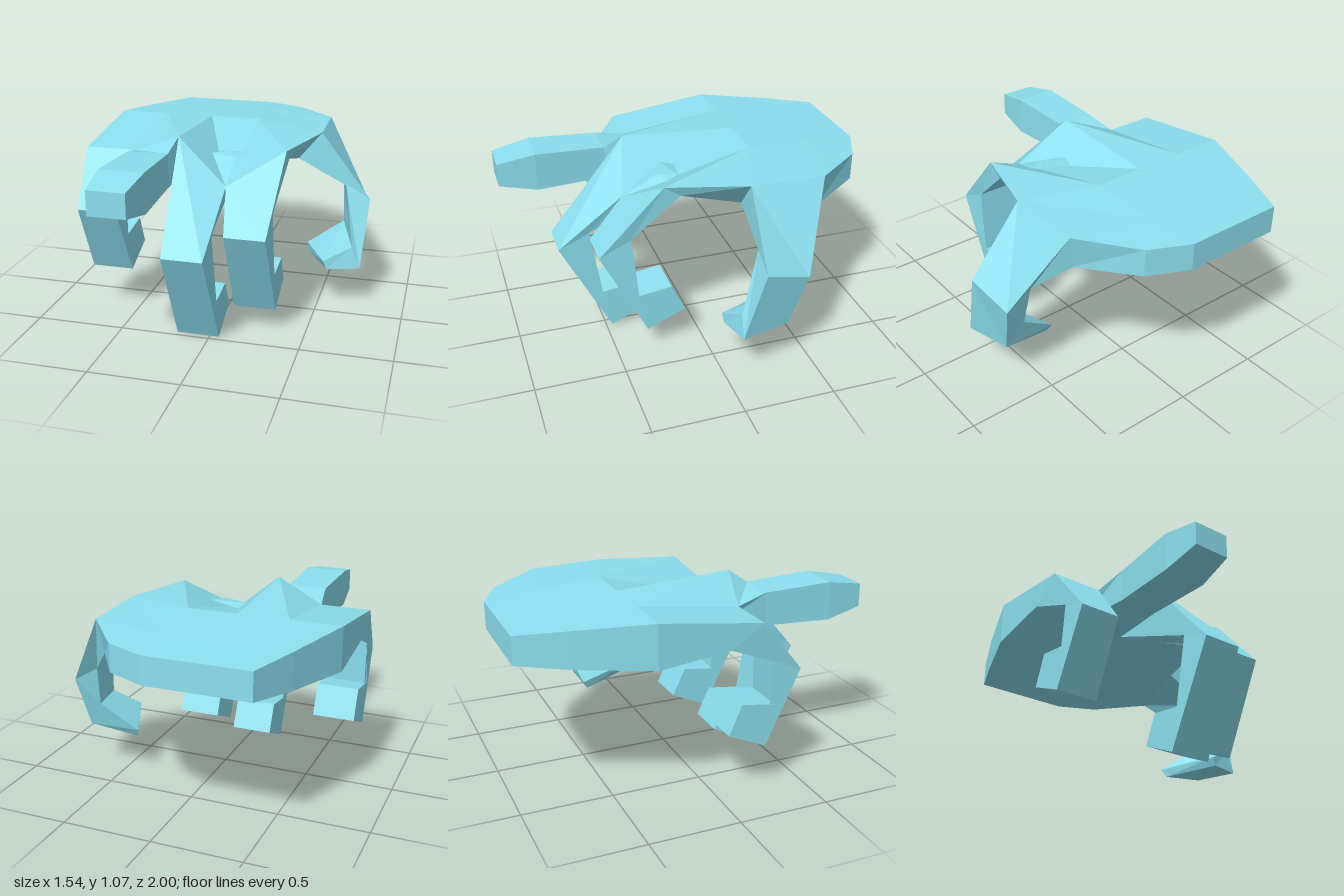
import * as THREE from 'three';
import { ConvexGeometry } from 'three/addons/geometries/ConvexGeometry.js';

const material = new THREE.MeshStandardMaterial({ color: 0x8cdff0, flatShading: true });

// Skins a series of equal-length rings; caps join the upper half of a ring to its lower half.
function loft(name, rings, capStart, capEnd) {
  const pos = [];
  const quad = (a, b, c, d) => pos.push(...a, ...b, ...c, ...a, ...c, ...d);
  const n = rings[0].length;
  for (let r = 0; r < rings.length - 1; r++) {
    const a = rings[r], b = rings[r + 1];
    for (let i = 0; i < n; i++) {
      const j = (i + 1) % n;
      quad(a[i], b[i], b[j], a[j]);
    }
  }
  const s = rings[0], e = rings[rings.length - 1];
  for (let i = 0; i < n / 2 - 1; i++) {
    if (capStart) quad(s[i], s[i + 1], s[n - 2 - i], s[n - 1 - i]);
    if (capEnd) quad(e[n - 1 - i], e[n - 2 - i], e[i + 1], e[i]);
  }
  const g = new THREE.BufferGeometry();
  g.setAttribute('position', new THREE.Float32BufferAttribute(pos, 3));
  g.computeVertexNormals();
  const mesh = new THREE.Mesh(g, material);
  mesh.name = name;
  return mesh;
}

// Finger section: outer pair then inner pair, each given as [z, y].
const section = (cx, half, outer, inner) => [
  [cx - half, outer[1], outer[0]], [cx + half, outer[1], outer[0]],
  [cx + half, inner[1], inner[0]], [cx - half, inner[1], inner[0]],
];

export function createModel() {
  const hand = new THREE.Group();
  hand.name = 'hand';

  // Back of the hand and its underside, in rows from wrist to knuckles
  const top = [
    [[-0.54, 0.985, -1], [-0.35, 0.985, -1], [-0.16, 0.985, -1], [0.02, 0.985, -1], [0.24, 0.985, -0.9]],
    [[-0.64, 1.005, -0.74], [-0.4, 1.005, -0.74], [-0.17, 1.005, -0.74], [0.05, 1.005, -0.74], [0.47, 1.0, -0.62]],
    [[-0.77, 1.03, -0.35], [-0.49, 1.03, -0.35], [-0.21, 1.03, -0.35], [0.07, 1.03, -0.35], [0.48, 1.01, -0.2]],
    [[-0.77, 0.955, 0.22], [-0.49, 0.955, 0.22], [-0.21, 1.07, 0.3], [0.07, 0.84, 0.385], [0.36, 1.01, 0.23]],
  ];
  const bottom = [
    top[0].map(([x, , z]) => [x, 0.835, z]),
    top[1].map(([x, , z], i) => (i < 4 ? [x, 0.81, z] : [0.44, 0.81, -0.6])),
    top[2].map(([x, , z], i) => (i < 4 ? [x, 0.79, z] : [0.35, 0.85, -0.2])),
    [[-0.77, 0.835, 0.04], [-0.49, 0.835, 0.04], [-0.21, 0.835, 0.04], [0.07, 0.89, 0.04], [0.36, 0.95, 0.14]],
  ];
  const rows = top.map((t, r) => [...t, ...bottom[r].slice().reverse()]);
  hand.add(loft('palm', rows, true, false));

  // Knuckle section shared with the palm's front row
  const knuckle = (c) => [top[3][c], top[3][c + 1], bottom[3][c + 1], bottom[3][c]];

  // Curled fingers: pairs of outer and inner [z, y] at middle joint, end joint and tip
  const curled = [
    ['littleFinger', 0, -0.633, [[0.46, 0.665], [0.3, 0.75], [0.265, 0.26], [0.31, 0.49], [0.05, 0.355], [0.12, 0.52]]],
    ['middleFinger', 2, -0.068, [[0.745, 0.55], [0.57, 0.63], [0.465, 0], [0.51, 0.235], [0.25, 0.1], [0.325, 0.26]]],
    ['indexFinger', 3, 0.217, [[0.58, 0.63], [0.405, 0.715], [0.325, 0.13], [0.37, 0.36], [0.11, 0.225], [0.185, 0.385]]],
  ];
  for (const [name, c, x, p] of curled) {
    hand.add(loft(name, [
      knuckle(c),
      section(x, 0.11, p[0], p[1]),
      section(x, 0.118, p[2], p[3]),
      section(x, 0.118, p[4], p[5]),
    ], false, true));
  }

  // Outstretched finger
  hand.add(loft('outstretchedFinger', [
    knuckle(1),
    section(-0.35, 0.11, [0.4, 1.0], [0.4, 0.815]),
    section(-0.35, 0.12, [0.79, 1.015], [0.79, 0.8]),
    section(-0.35, 0.1, [1, 0.975], [1, 0.845]),
  ], false, true));

  // Thumb, hanging down from the side of the palm
  hand.add(loft('thumb', [
    [top[2][4], top[1][4], bottom[1][4], bottom[2][4]],
    [[0.77, 0.64, -0.19], [0.73, 0.565, -0.445], [0.585, 0.65, -0.445], [0.63, 0.72, -0.19]],
    [[0.74, 0.25, -0.085], [0.69, 0.27, -0.36], [0.6, 0.42, -0.4], [0.69, 0.375, -0.09]],
    [[0.555, 0.245, -0.04], [0.41, 0.225, -0.33], [0.39, 0.275, -0.36], [0.535, 0.295, -0.035]],
  ], false, true));

  // Small wedge standing in the dent between two knuckles
  const wedge = [
    [0.07, 0.84, 0.385], [-0.05, 0.93, 0.05], [0.12, 0.955, 0.08],
    [0.15, 0.94, 0.14], [0.07, 0.945, 0.18], [-0.08, 0.945, 0.13],
  ].map((p) => new THREE.Vector3(...p));
  const wedgeMesh = new THREE.Mesh(new ConvexGeometry(wedge), material);
  wedgeMesh.name = 'knuckleWedge';
  hand.add(wedgeMesh);

  return hand;
}
